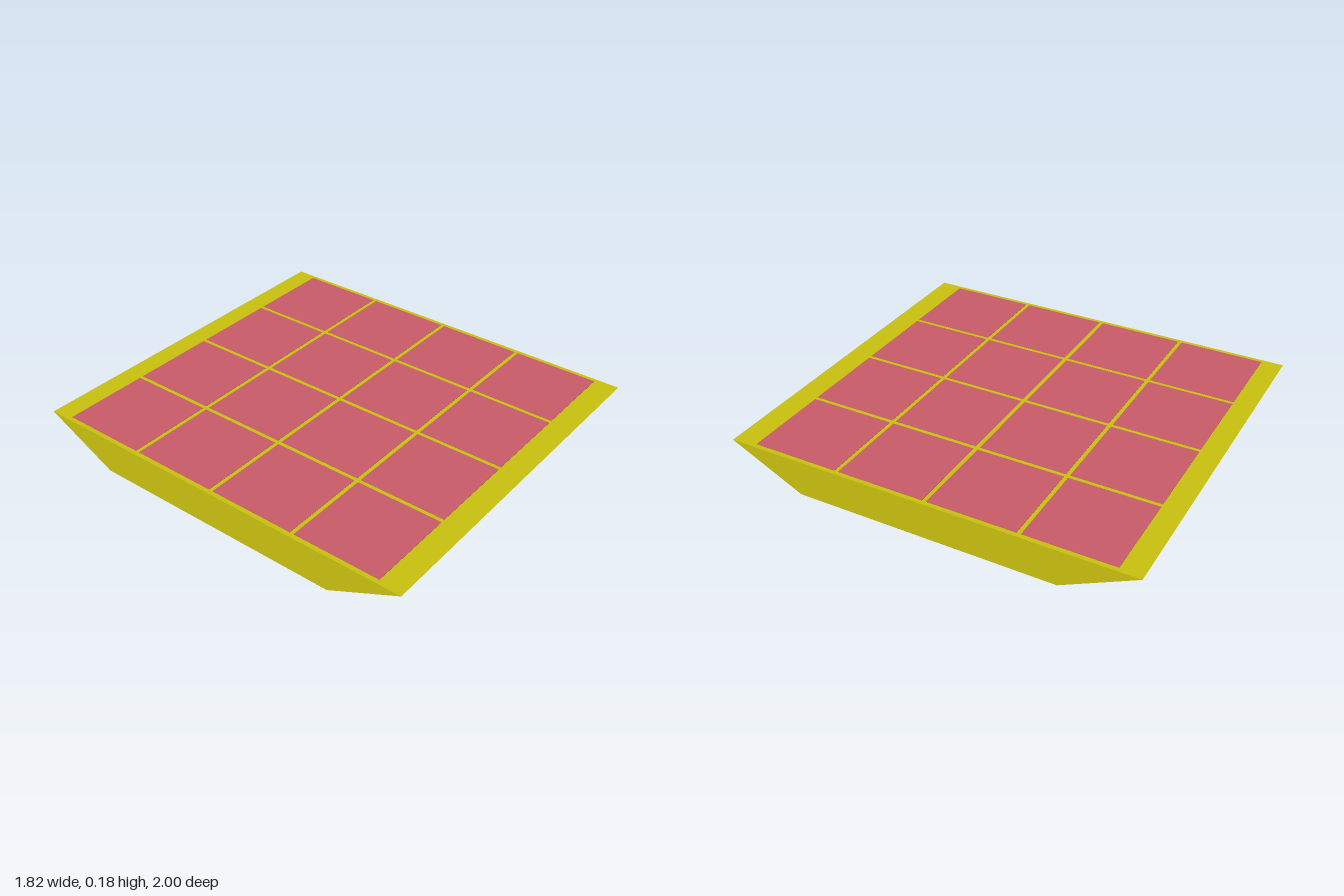
import * as THREE from 'three';

const HALF_WIDTH = 0.91, HEIGHT = 0.18;

export function createModel() {
  const group = new THREE.Group();
  const yellow = new THREE.MeshStandardMaterial({ color: 0xc9c00f, flatShading: true });
  const pink = new THREE.MeshStandardMaterial({ color: 0xc95b68, flatShading: true });

  // Tray body: trapezoid side profile with sloping front and back, run across x
  const profile = new THREE.Shape([
    new THREE.Vector2(-0.64, 0),
    new THREE.Vector2(0.64, 0),
    new THREE.Vector2(1, HEIGHT),
    new THREE.Vector2(-1, HEIGHT),
  ]);
  const bodyGeometry = new THREE.ExtrudeGeometry(profile, { depth: 2 * HALF_WIDTH, bevelEnabled: false });
  bodyGeometry.translate(0, 0, -HALF_WIDTH).rotateY(Math.PI / 2);
  const body = new THREE.Mesh(bodyGeometry, yellow);
  body.name = 'body';
  group.add(body);

  // Four by four flush tiles separated by narrow yellow joints
  const tiles = new THREE.Group();
  tiles.name = 'tiles';
  const pitch = 0.449, size = 0.429, thickness = 0.004;
  const tileGeometry = new THREE.BoxGeometry(size, thickness, size);
  for (let row = 0; row < 4; row++) {
    for (let col = 0; col < 4; col++) {
      const tile = new THREE.Mesh(tileGeometry, pink);
      tile.name = `tile${row + 1}_${col + 1}`;
      tile.position.set((col - 1.5) * pitch, HEIGHT - 0.0005, (row - 1.5) * pitch - 0.006);
      tiles.add(tile);
    }
  }
  group.add(tiles);

  return group;
}
